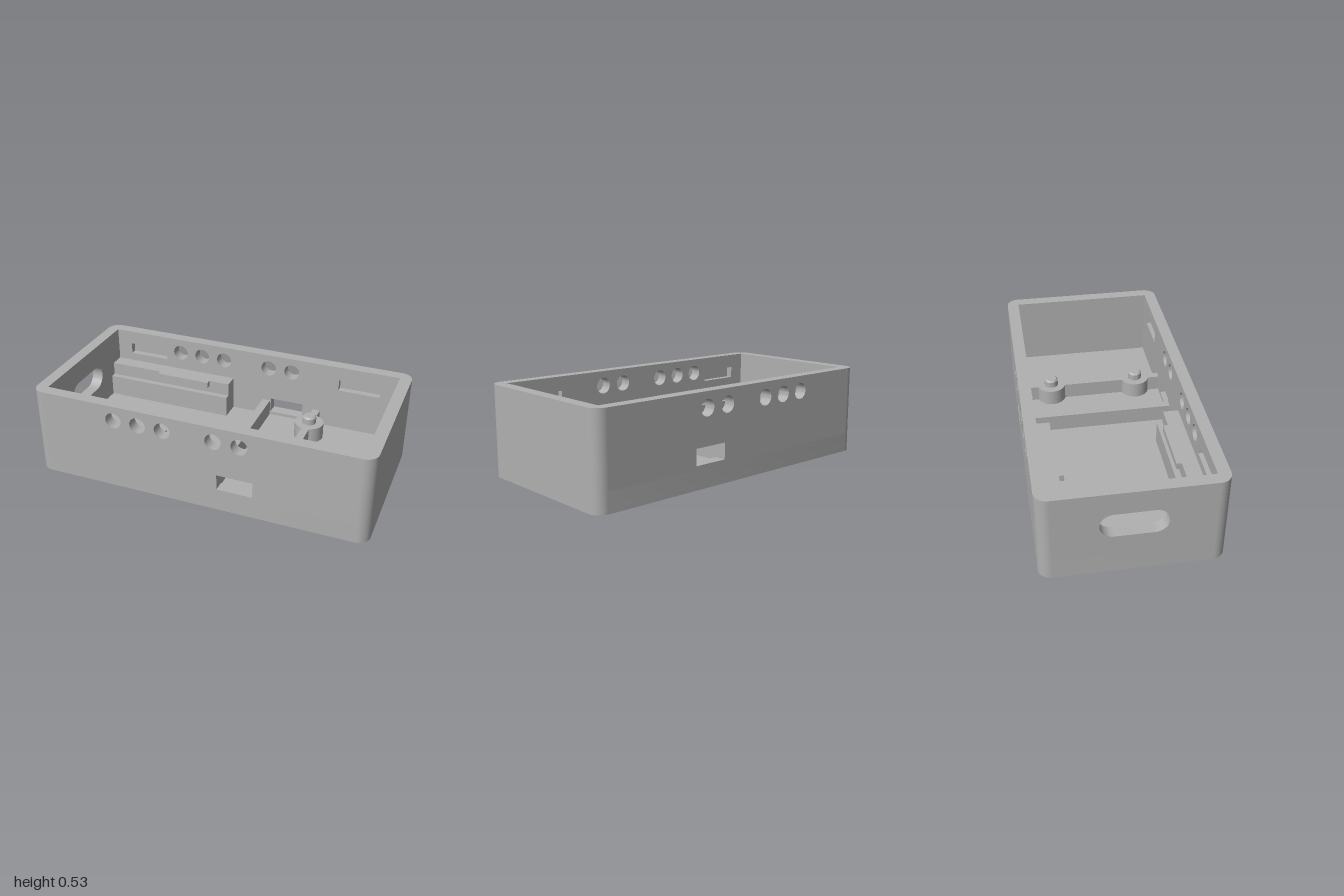
import * as THREE from 'three';
import { toCreasedNormals } from 'three/addons/utils/BufferGeometryUtils.js';

const X = 1, Z = 0.495, H = 0.53, WALL = 0.07, FLOOR = 0.115;
const IX = X - WALL, IZ = Z - WALL;

export function createModel() {
  const model = new THREE.Group();
  const grey = new THREE.MeshStandardMaterial({ color: 0xb0b0b0 });
  grey.name = 'plain grey';

  const add = (name, geometry, x = 0, y = 0, z = 0) => {
    const mesh = new THREE.Mesh(geometry, grey);
    mesh.name = name;
    mesh.position.set(x, y, z);
    model.add(mesh);
    return mesh;
  };
  // Box given by its limits on each axis
  const block = (name, x0, x1, y0, y1, z0, z1) =>
    add(name, new THREE.BoxGeometry(x1 - x0, y1 - y0, z1 - z0), (x0 + x1) / 2, (y0 + y1) / 2, (z0 + z1) / 2);
  const extrude = (shape, depth) => toCreasedNormals(
    new THREE.ExtrudeGeometry(shape, { depth, bevelEnabled: false, curveSegments: 16 }), 0.6);
  const trace = (path, x0, x1, y0, y1) =>
    path.moveTo(x0, y0).lineTo(x1, y0).lineTo(x1, y1).lineTo(x0, y1).closePath();
  const rect = (...limits) => trace(new THREE.Path(), ...limits);
  const panel = (...limits) => trace(new THREE.Shape(), ...limits);
  const circle = (x, y, r) => new THREE.Path().absarc(x, y, r, 0, Math.PI * 2, true);

  // Floor: stacked rounded plates, the lower ones pierced by round foot recesses
  const feet = [];
  for (const sx of [-1, 1]) for (const sz of [-1, 1]) feet.push([0.72 * sx, 0.25 * sz]);
  const floorPlate = (name, y0, y1, holeRadius) => {
    const s = new THREE.Shape();
    s.absarc(IX, IZ, WALL, 0, Math.PI / 2);
    s.absarc(-IX, IZ, WALL, Math.PI / 2, Math.PI);
    s.absarc(-IX, -IZ, WALL, Math.PI, Math.PI * 1.5);
    s.absarc(IX, -IZ, WALL, Math.PI * 1.5, Math.PI * 2);
    s.closePath();
    if (holeRadius) for (const [x, z] of feet) s.holes.push(circle(x, z, holeRadius));
    add(name, extrude(s, y1 - y0).rotateX(-Math.PI / 2), 0, y0, 0);
  };
  floorPlate('floorUnderside', 0, 0.015, 0.2);
  floorPlate('floorMiddle', 0.015, 0.09, 0.185);
  floorPlate('floorTop', 0.09, FLOOR, 0);

  // Chamfer at the mouth of each foot recess, facing inward
  const chamfer = new THREE.LatheGeometry(
    [new THREE.Vector2(0.185, 0.015), new THREE.Vector2(0.2, 0)], 48);
  for (const [x, z] of feet) add('footRecessChamfer', chamfer, x, 0, z);

  // Long walls: outer skin plus inner skin that carries the blind lid slots
  const longWall = (depth, withSlots) => {
    const s = panel(-IX, IX, FLOOR, H);
    for (const x of [-0.48, -0.33, -0.18, 0.12, 0.27]) s.holes.push(circle(x, 0.44, 0.048));
    s.holes.push(rect(0.14, 0.35, 0.135, 0.23));
    if (withSlots) {
      s.holes.push(rect(-0.835, -0.58, 0.375, 0.445));
      s.holes.push(rect(0.57, 0.825, 0.375, 0.445));
    }
    return extrude(s, depth);
  };
  const outer = longWall(0.03, false), inner = longWall(0.04, true);
  add('frontWallOuter', outer, 0, 0, Z - 0.03);
  add('frontWallInner', inner, 0, 0, IZ);
  add('backWallOuter', outer, 0, 0, -Z);
  add('backWallInner', inner, 0, 0, -IZ - 0.04);

  // End walls, the one at -x with a long rounded opening
  const slotted = panel(-IZ, IZ, FLOOR, H);
  const opening = new THREE.Path();
  opening.absarc(0.105, 0.32, 0.075, -Math.PI / 2, Math.PI / 2);
  opening.absarc(-0.105, 0.32, 0.075, Math.PI / 2, Math.PI * 1.5);
  opening.closePath();
  slotted.holes.push(opening);
  add('slottedEndWall', extrude(slotted, WALL).rotateY(Math.PI / 2), -X, 0, 0);
  block('plainEndWall', IX, X, FLOOR, H, -IZ, IZ);

  // Rounded corner posts
  [[1, 1], [1, -1], [-1, -1], [-1, 1]].forEach(([sx, sz], i) => {
    const post = new THREE.CylinderGeometry(
      WALL, WALL, H - FLOOR, 16, 1, false, i * Math.PI / 2, Math.PI / 2);
    add('cornerPost', post, sx * IX, (H + FLOOR) / 2, sz * IZ);
  });

  // Stepped side rails with a retaining tab, and the screw bosses
  const pin = toCreasedNormals(new THREE.LatheGeometry(
    [[0.042, 0], [0.042, 0.037], [0.033, 0.046], [0, 0.046]].map(p => new THREE.Vector2(...p)), 32), 0.5);
  for (const s of [-1, 1]) {
    const side = (name, x0, x1, y0, y1, z0, z1) =>
      block(name, x0, x1, y0, y1, Math.min(s * z0, s * z1), Math.max(s * z0, s * z1));
    side('railTop', -IX, -0.115, FLOOR, 0.325, 0.335, IZ);
    side('railStep', -IX, -0.115, FLOOR, 0.245, 0.3, 0.335);
    side('railTab', -0.59, -0.245, 0.288, 0.325, 0.306, 0.335);
    add('boss', new THREE.CylinderGeometry(0.088, 0.088, 0.21 - FLOOR, 40), 0.44, (0.21 + FLOOR) / 2, s * 0.27);
    add('bossPin', pin, 0.44, 0.21, s * 0.27);
  }

  // Cross walls on the floor
  block('divider', 0.085, 0.135, FLOOR, 0.215, -IZ, IZ);
  block('bossRib', 0.417, 0.463, FLOOR, 0.21, -IZ, IZ);

  return model;
}
